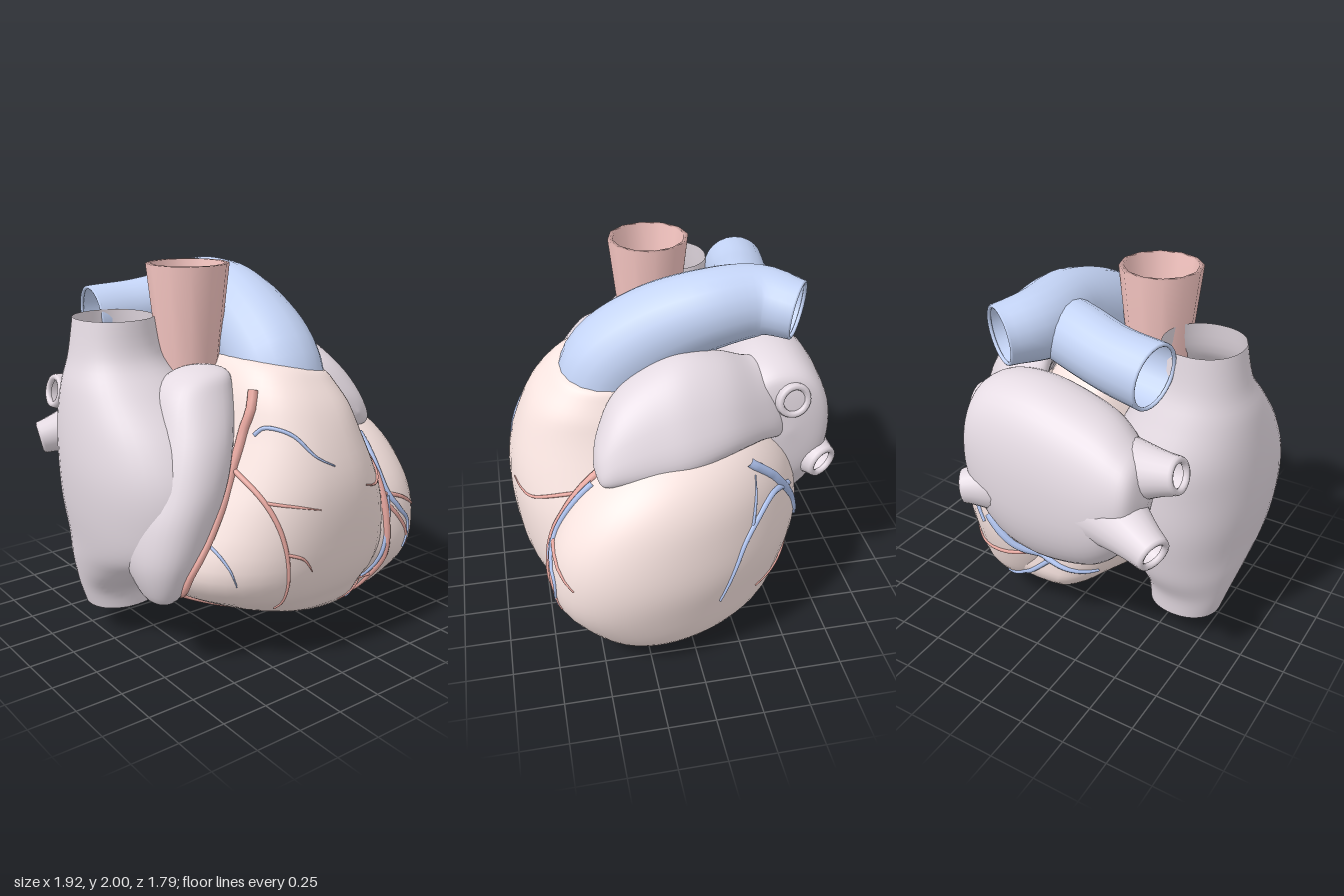
import * as THREE from 'three';

const MUSCLE = 0xf8e4e0, ATRIUM = 0xe4dae2, AORTA = 0xf6c6c2, PULMONARY = 0xc4d4f6;
const ARTERY = 0xe8a8a0, VEIN = 0xaec2ee, VALVE = 0xe6e6d2;

// Catmull-Rom blend of the numbers in a list of rows, at t in 0..1
function sampleRows(rows, t) {
  const last = rows.length - 1, f = t * last, i = Math.min(Math.floor(f), last - 1), k = f - i;
  const [a, b, c, d] = [-1, 0, 1, 2].map(o => rows[Math.min(last, Math.max(0, i + o))]);
  return b.map((_, n) => b[n] + 0.5 * k * (c[n] - a[n]
    + k * (2 * a[n] - 5 * b[n] + 4 * c[n] - d[n] + k * (3 * (b[n] - c[n]) + d[n] - a[n]))));
}

// Smooth skin over rounded sections; each row is [along, centreU, centreV, radiusU, radiusV], along rising
function loft(rows, { axis = 'y', power = 2, shearU = 0, shearV = 0, closed = true, segs = 48, steps = 40 } = {}) {
  const place = { y: (t, u, v) => [u, t, v], x: (t, u, v) => [t, v, u], z: (t, u, v) => [v, u, t] }[axis];
  const pos = [], idx = [];
  const round = c => Math.sign(c) * Math.abs(c) ** (2 / power);
  for (let i = 0; i <= steps; i++) {
    const [t, cu, cv, ru, rv] = sampleRows(rows, i / steps);
    for (let j = 0; j < segs; j++) {
      const a = j / segs * Math.PI * 2, du = ru * round(Math.cos(a)), dv = rv * round(Math.sin(a));
      pos.push(...place(t, cu + du + shearU * dv, cv + dv + shearV * du));
      if (i === steps) continue;
      const p = i * segs + j, q = i * segs + (j + 1) % segs;
      idx.push(p, p + segs, q, q, p + segs, q + segs);
    }
  }
  if (closed) {
    const bottom = pos.length / 3, top = bottom + 1, base = steps * segs;
    for (const r of [rows[0], rows[rows.length - 1]]) pos.push(...place(r[0], r[1], r[2]));
    for (let j = 0; j < segs; j++) {
      const n = (j + 1) % segs;
      idx.push(bottom, j, n, top, base + n, base + j);
    }
  }
  const g = new THREE.BufferGeometry();
  g.setAttribute('position', new THREE.Float32BufferAttribute(pos, 3));
  g.setIndex(idx);
  g.computeVertexNormals();
  return g;
}

// Tube whose radius changes along its path
function taperedTube(points, radii, steps = 24, sides = 20) {
  const curve = new THREE.CatmullRomCurve3(points.map(p => p.isVector3 ? p : new THREE.Vector3(...p)));
  const g = new THREE.TubeGeometry(curve, steps, 1, sides, false);
  const { position, normal } = g.attributes;
  for (let i = 0; i <= steps; i++) {
    const c = curve.getPointAt(i / steps), [r] = sampleRows(radii.map(x => [x]), i / steps);
    for (let j = 0; j <= sides; j++) {
      const n = i * (sides + 1) + j;
      position.setXYZ(n, c.x + r * normal.getX(n), c.y + r * normal.getY(n), c.z + r * normal.getZ(n));
    }
  }
  return { geometry: g, curve };
}

export function createModel() {
  const heart = new THREE.Group();
  heart.name = 'heart';

  const add = (name, geometry, color, parent = heart, open = false) => {
    const side = open ? THREE.DoubleSide : THREE.FrontSide;
    const m = new THREE.Mesh(geometry, new THREE.MeshStandardMaterial({ color, side }));
    m.name = name;
    parent.add(m);
    return m;
  };

  // Open vessel with a rounded lip at its far end
  const openVessel = (name, points, radii, color, lip = 0.01) => {
    const group = new THREE.Group();
    group.name = name;
    heart.add(group);
    const { geometry, curve } = taperedTube(points, radii);
    add(name + 'Wall', geometry, color, group, true);
    const rim = add(name + 'Rim', new THREE.TorusGeometry(radii[radii.length - 1] - lip, lip, 8, 24), color, group);
    rim.position.copy(curve.getPointAt(1));
    rim.lookAt(rim.position.clone().add(curve.getTangentAt(1)));
  };

  // Ventricles: two bulging lobes that meet in the front groove
  const rightGeo = loft([
    [0.02, 0.45, 0.12, 0.1, 0.13], [0.08, 0.37, 0.12, 0.32, 0.38], [0.2, 0.19, 0.1, 0.46, 0.57],
    [0.3, 0.1, 0.1, 0.59, 0.65], [0.4, 0.05, 0.13, 0.68, 0.69], [0.55, 0.03, 0.16, 0.71, 0.71],
    [0.8, 0.05, 0.21, 0.6, 0.69], [1.0, 0.05, 0.26, 0.485, 0.63], [1.2, 0.045, 0.28, 0.39, 0.55],
    [1.34, 0.05, 0.3, 0.34, 0.46], [1.44, 0.06, 0.31, 0.29, 0.36], [1.49, 0.07, 0.31, 0.25, 0.3],
    [1.5, 0.07, 0.31, 0.2, 0.25],
  ], { power: 2.4 });
  const rp = rightGeo.attributes.position;
  for (let i = 0; i < rp.count; i++) {
    // the outflow rim slopes down to the left side, and the back right corner tapers in behind the atrium
    const x = rp.getX(i), lift = THREE.MathUtils.smoothstep(rp.getY(i), 1.2, 1.5);
    rp.setY(i, rp.getY(i) - 0.2 * (x - 0.06) * lift);
    if (x < 0) rp.setX(i, x * (0.5 + 0.5 * THREE.MathUtils.smoothstep(rp.getZ(i), -0.35, 0.35)));
  }
  rightGeo.computeVertexNormals();
  const rightVentricle = add('rightVentricle', rightGeo, MUSCLE);
  const leftVentricle = add('leftVentricle', loft([
    [0, 0.5, 0.12, 0.02, 0.02], [0.02, 0.5, 0.11, 0.17, 0.21], [0.08, 0.49, 0.07, 0.26, 0.38],
    [0.2, 0.475, 0.04, 0.36, 0.54], [0.4, 0.45, 0.065, 0.45, 0.665], [0.6, 0.44, 0.05, 0.49, 0.7],
    [0.8, 0.43, 0.03, 0.48, 0.67], [1.0, 0.42, -0.01, 0.43, 0.57], [1.15, 0.4, -0.04, 0.34, 0.42],
    [1.24, 0.36, -0.05, 0.22, 0.27], [1.27, 0.34, -0.05, 0.03, 0.03],
  ], { shearU: 0.25 }), MUSCLE);

  // Right atrium, open at the upper and lower great veins
  add('rightAtriumAndGreatVeins', loft([
    [0.17, -0.61, -0.15, 0.2, 0.17], [0.3, -0.62, -0.14, 0.23, 0.2], [0.45, -0.6, -0.06, 0.29, 0.35],
    [0.6, -0.59, 0.04, 0.33, 0.49], [0.8, -0.57, 0.05, 0.38, 0.54], [1.0, -0.55, 0.04, 0.41, 0.54],
    [1.2, -0.56, -0.01, 0.385, 0.48], [1.4, -0.6, -0.07, 0.31, 0.34], [1.55, -0.62, -0.11, 0.24, 0.24],
    [1.74, -0.62, -0.12, 0.205, 0.205],
  ], { closed: false, power: 2.12 }), ATRIUM, heart, true);
  const rightAuricle = add('rightAuricle', loft([
    [0.37, -0.71, 0.41, 0.01, 0.01], [0.42, -0.71, 0.41, 0.08, 0.12], [0.6, -0.69, 0.39, 0.16, 0.22],
    [0.8, -0.63, 0.38, 0.2, 0.26], [1.0, -0.55, 0.37, 0.205, 0.27], [1.2, -0.48, 0.34, 0.2, 0.25],
    [1.4, -0.41, 0.29, 0.19, 0.19], [1.49, -0.36, 0.28, 0.13, 0.13], [1.52, -0.34, 0.28, 0.01, 0.01],
  ], { segs: 32, power: 2.2 }), ATRIUM);

  // Left atrium and its ear-shaped pouch
  add('leftAtrium', loft([
    [-0.62, -0.67, 1.12, 0.02, 0.02], [-0.58, -0.66, 1.12, 0.14, 0.18], [-0.48, -0.62, 1.07, 0.22, 0.31],
    [-0.3, -0.56, 1.03, 0.29, 0.43], [0, -0.53, 1.03, 0.315, 0.5], [0.22, -0.52, 1.06, 0.305, 0.47],
    [0.36, -0.53, 1.13, 0.26, 0.35], [0.41, -0.54, 1.15, 0.18, 0.24], [0.43, -0.55, 1.15, 0.02, 0.02],
  ], { axis: 'x', power: 2.2 }), ATRIUM);
  add('leftAuricle', loft([
    [-0.62, 1.28, 0.15, 0.02, 0.02], [-0.55, 1.29, 0.2, 0.18, 0.15], [-0.38, 1.33, 0.33, 0.175, 0.16],
    [-0.2, 1.38, 0.42, 0.21, 0.17], [0, 1.38, 0.47, 0.245, 0.165], [0.18, 1.34, 0.48, 0.23, 0.16],
    [0.36, 1.27, 0.5, 0.18, 0.14], [0.46, 1.19, 0.54, 0.1, 0.09], [0.49, 1.17, 0.55, 0.01, 0.01],
  ], { axis: 'z', power: 2.4, shearV: -0.55 }), ATRIUM);

  // Pulmonary veins: two on each side of the left atrium
  const veins = {
    rightUpperPulmonaryVein: [[-0.28, 1.14, -0.55], [-0.52, 1.22, -0.58], [-0.74, 1.27, -0.59]],
    rightLowerPulmonaryVein: [[-0.28, 1.02, -0.6], [-0.52, 1.0, -0.72], [-0.73, 0.95, -0.8]],
    leftUpperPulmonaryVein: [[0.1, 1.24, -0.5], [0.28, 1.32, -0.55], [0.42, 1.34, -0.57]],
    leftLowerPulmonaryVein: [[0.1, 1.0, -0.6], [0.28, 0.94, -0.7], [0.4, 0.92, -0.76]],
  };
  for (const [name, path] of Object.entries(veins)) openVessel(name, path, [0.26, 0.16, 0.095], ATRIUM, 0.018);

  // Pulmonary trunk with its two branches
  openVessel('pulmonaryTrunk', [[0.07, 1.3, 0.4], [0.07, 1.46, 0.34], [0.09, 1.63, 0.13], [0.13, 1.755, -0.16],
    [0.13, 1.78, -0.45], [0.23, 1.76, -0.61]], [0.24, 0.25, 0.235, 0.21, 0.19, 0.155], PULMONARY);
  openVessel('rightPulmonaryBranch', [[0.12, 1.74, -0.3], [-0.1, 1.73, -0.39], [-0.32, 1.7, -0.45],
    [-0.54, 1.68, -0.48]], [0.17, 0.17, 0.165, 0.17], PULMONARY);

  // Aorta: thick-walled pipe with a three-leaf valve inside
  const profile = [[0.13, 1.2], [0.16, 1.5], [0.215, 2], [0.19, 2], [0.14, 1.5], [0.11, 1.2]];
  const aorta = add('aorta', new THREE.LatheGeometry(profile.map(p => new THREE.Vector2(...p)), 12), AORTA, heart, true);
  aorta.position.set(-0.28, 0, 0.06);
  for (let i = 0; i < 3; i++) {
    const a = i * Math.PI * 2 / 3;
    const cusp = add('aorticValveLeaflet', new THREE.SphereGeometry(0.06, 12, 6, 0, Math.PI * 2, Math.PI / 2, Math.PI / 2),
      VALVE, aorta, true);
    cusp.position.set(0.06 * Math.cos(a), 1.4, 0.06 * Math.sin(a));
  }

  // Coronary vessels: flat paths dropped onto the muscle from one direction
  const coronary = new THREE.Group();
  coronary.name = 'coronaryVessels';
  const targets = [rightVentricle, leftVentricle, rightAuricle];
  heart.updateMatrixWorld(true);
  const caster = new THREE.Raycaster();
  const rays = {
    front: p => [new THREE.Vector3(p.x, p.y, 3), new THREE.Vector3(0, 0, -1)],
    back: p => [new THREE.Vector3(p.x, p.y, -3), new THREE.Vector3(0, 0, 1)],
    left: p => [new THREE.Vector3(3, p.y, p.x), new THREE.Vector3(-1, 0, 0)],
  };
  const vessel = (name, color, from, r, ...path) => {
    const flat = new THREE.SplineCurve(path.map(p => new THREE.Vector2(...p)));
    const pts = [];
    for (const p of flat.getSpacedPoints(18)) {
      caster.set(...rays[from](p));
      const hit = caster.intersectObjects(targets, false)[0];
      if (hit) pts.push(hit.point.addScaledVector(hit.face.normal, r * 0.2));
    }
    if (pts.length > 2) add(name, taperedTube(pts, [r, r * 0.8, r * 0.35], 40, 8).geometry, color, coronary);
  };
  const A = 'coronaryArtery', B = 'coronaryArteryBranch', V = 'cardiacVein';
  vessel(A, ARTERY, 'front', 0.026, [-0.23, 1.42], [-0.36, 1.08], [-0.52, 0.78], [-0.66, 0.55], [-0.62, 0.4], [-0.4, 0.27], [-0.1, 0.15]);
  vessel(B, ARTERY, 'front', 0.014, [-0.38, 1.06], [-0.3, 0.85], [-0.25, 0.65], [-0.2, 0.3]);
  vessel(B, ARTERY, 'front', 0.009, [-0.32, 0.92], [-0.2, 0.9], [-0.08, 0.87]);
  vessel(B, ARTERY, 'front', 0.009, [-0.25, 0.66], [-0.16, 0.62], [-0.1, 0.54]);
  vessel(A, ARTERY, 'front', 0.023, [0.5, 1.1], [0.53, 0.8], [0.55, 0.5], [0.56, 0.25], [0.57, 0.05]);
  vessel(B, ARTERY, 'front', 0.011, [0.52, 0.99], [0.38, 0.9], [0.23, 0.93]);
  vessel(B, ARTERY, 'front', 0.012, [0.54, 0.77], [0.68, 0.72], [0.84, 0.62]);
  vessel(B, ARTERY, 'front', 0.012, [0.55, 0.72], [0.68, 0.56], [0.74, 0.42]);
  vessel(B, ARTERY, 'front', 0.011, [0.55, 0.26], [0.42, 0.22], [0.28, 0.19]);
  vessel(V, VEIN, 'front', 0.011, [-0.28, 1.22], [-0.24, 1.26], [-0.16, 1.23], [-0.08, 1.13], [0.02, 1.07]);
  vessel(V, VEIN, 'front', 0.018, [0.55, 1.06], [0.56, 0.8], [0.64, 0.67], [0.72, 0.57], [0.7, 0.42]);
  vessel(V, VEIN, 'front', 0.015, [0.56, 0.75], [0.53, 0.4], [0.5, 0.24], [0.38, 0.16]);
  vessel(V, VEIN, 'front', 0.009, [-0.55, 0.73], [-0.5, 0.62], [-0.46, 0.5]);
  vessel('coronarySinus', VEIN, 'left', 0.026, [-0.28, 1.14], [-0.43, 1.01], [-0.56, 0.8], [-0.62, 0.6]);
  vessel(V, VEIN, 'left', 0.018, [-0.53, 0.9], [-0.4, 0.94], [-0.25, 0.8], [-0.18, 0.65], [-0.1, 0.44]);
  vessel(V, VEIN, 'left', 0.009, [-0.28, 0.85], [-0.3, 0.98], [-0.31, 1.08]);
  vessel('coronarySinus', VEIN, 'back', 0.024, [0.36, 0.68], [0.2, 0.53], [0, 0.44], [-0.2, 0.38]);
  vessel(V, VEIN, 'back', 0.014, [0.02, 0.45], [0.2, 0.28], [0.4, 0.16], [0.55, 0.1]);
  vessel(B, ARTERY, 'back', 0.012, [0.15, 0.48], [0.35, 0.42], [0.55, 0.36], [0.7, 0.36]);
  heart.add(coronary);

  return heart;
}
